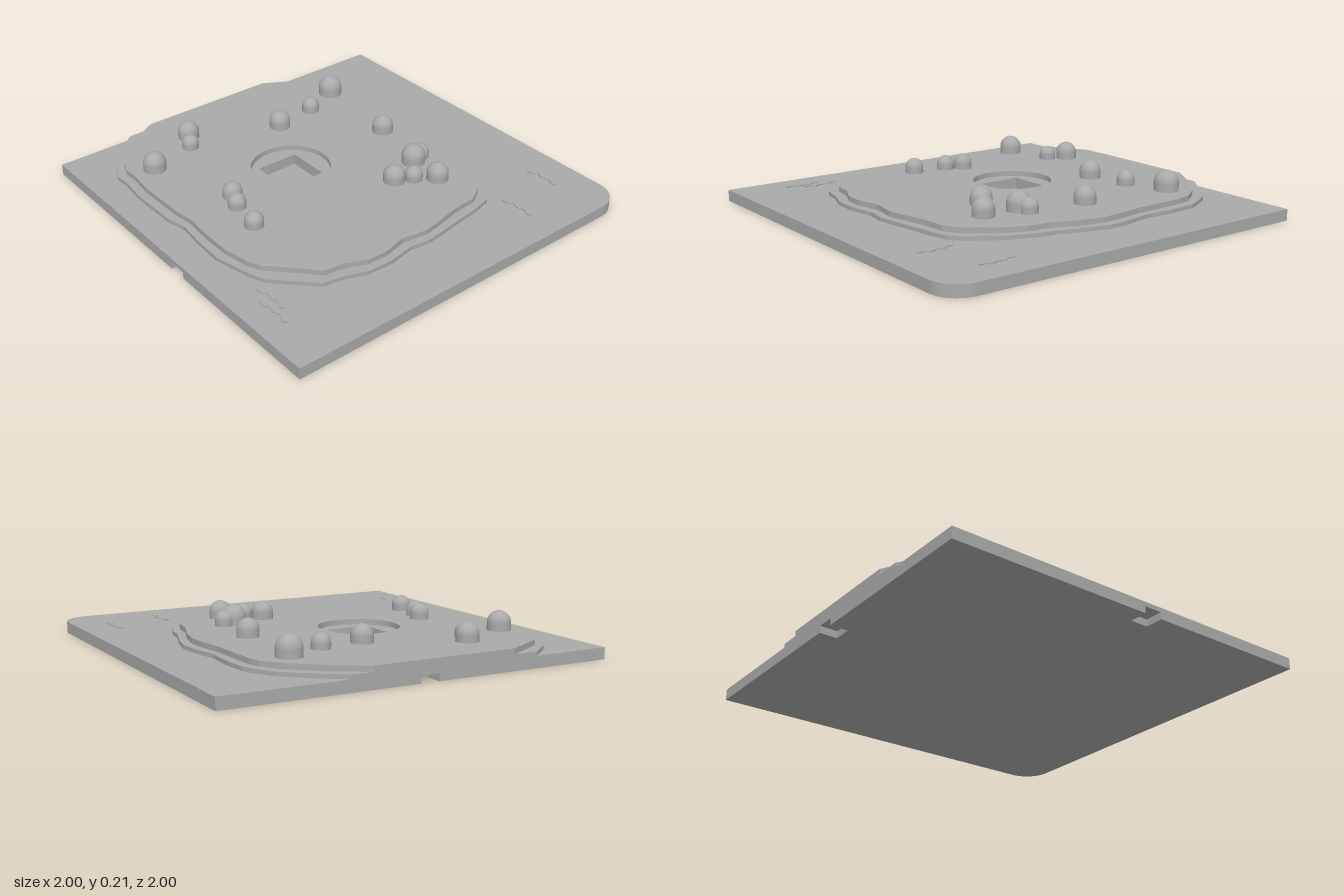
import * as THREE from 'three';

const stone = new THREE.MeshStandardMaterial({ color: 0xaaaaaa });
stone.name = 'grey';

// Heights of the stacked levels
const PIT = 0.02, NOTCH = 0.035, BASE = 0.058, STEP = 0.078, TOP = 0.105;

// Shorelines as x, z pairs, running from the left edge round and back to it
const lowerShore = [
  -1, -.38, -.9, -.515, -.8, -.63, -.69, -.69, -.64, -.71, -.5, -.72, -.34, -.71, -.18, -.74,
  -.075, -.745, .03, -.72, .19, -.665, .27, -.655, .44, -.59, .49, -.55, .565, -.505, .62, -.445,
  .645, -.345, .66, -.235, .68, -.105, .695, .005, .68, .11, .705, .245, .7, .38, .66, .485,
  .64, .59, .565, .67, .45, .78, .38, .805, .19, .85, .03, .845, -.11, .83, -.21, .855,
  -.475, .86, -.61, .845, -.69, .85, -.77, .815, -.9, .715, -1, .595];
const upperShore = [
  -1, -.275, -.89, -.445, -.77, -.585, -.675, -.65, -.61, -.665, -.5, -.67, -.315, -.675, -.18, -.695,
  -.075, -.7, .045, -.675, .19, -.62, .3, -.605, .435, -.54, .47, -.505, .555, -.445, .6, -.37,
  .61, -.235, .64, -.105, .655, -.01, .635, .12, .665, .245, .66, .35, .615, .45, .6, .555,
  .485, .66, .395, .75, .325, .78, .19, .805, .03, .805, -.11, .795, -.21, .81, -.475, .815,
  -.61, .8, -.68, .805, -.76, .77, -.88, .68, -1, .465];

// Dome-topped trees: x, z, radius
const trees = [
  [-.67, -.5, .063], [-.585, -.295, .046], [-.55, -.06, .055], [-.17, -.455, .055], [.15, -.43, .045],
  [.165, -.37, .06], [.36, -.355, .055], [.29, -.26, .045], [.24, -.175, .055], [-.76, .38, .055],
  [-.665, .43, .043], [-.6, .685, .058], [-.15, .525, .048], [-.06, .56, .045], [.12, .59, .047]];

const waves = [[.635, -.83], [.745, -.535], [.565, .815], [.645, .86]];

function outline(flat) {
  const pts = [];
  for (let i = 0; i < flat.length; i += 2) pts.push(new THREE.Vector2(flat[i], flat[i + 1]));
  return new THREE.Shape(pts);
}

// Flat plate from a plan shape (x, z) between two heights
function slab(name, shape, y0, y1) {
  const geo = new THREE.ExtrudeGeometry(shape, { depth: y1 - y0, bevelEnabled: false, curveSegments: 48 });
  geo.rotateX(Math.PI / 2).translate(0, y1, 0);
  const mesh = new THREE.Mesh(geo, stone);
  mesh.name = name;
  return mesh;
}

// Square plan with one rounded back corner, optionally notched at two edges
function basePlan(notched) {
  const s = new THREE.Shape();
  const r = 0.14, d = 0.09;
  s.moveTo(-1, -1);
  s.lineTo(1 - r, -1);
  s.absarc(1 - r, -1 + r, r, -Math.PI / 2, 0, false);
  s.lineTo(1, 1);
  if (notched) {
    s.lineTo(.135, 1); s.lineTo(.135, 1 - d); s.lineTo(.04, 1 - d); s.lineTo(.04, 1);
  }
  s.lineTo(-1, 1);
  if (notched) {
    s.lineTo(-1, .06); s.lineTo(-1 + d, .06); s.lineTo(-1 + d, -.035); s.lineTo(-1, -.035);
  }
  s.closePath();
  return s;
}

function withSquareHole(shape) {
  shape.holes.push(outline([-.305, .03, -.305, .255, -.075, .255, -.075, .03]));
  return shape;
}

// Small zigzag ripple ribbon
function wavePlan(cx, cz) {
  const line = [[-.092, .012], [-.055, .012], [-.035, -.01], [0, .004], [.035, -.01], [.07, .008], [.09, .003]];
  const h = 0.009;
  const near = line.map(([x, z]) => [cx + x, cz + z - h]);
  const far = line.map(([x, z]) => [cx + x, cz + z + h]).reverse();
  return outline([...near, ...far].flat());
}

export function createModel() {
  const model = new THREE.Group();
  model.name = 'islandTile';

  // Base plate in three levels: floor, notched level, cover
  model.add(slab('baseFloor', basePlan(true), 0, PIT));
  model.add(slab('baseMiddle', withSquareHole(basePlan(true)), PIT, NOTCH));
  model.add(slab('baseCover', withSquareHole(basePlan(false)), NOTCH, BASE));

  // Island terraces with a square pit inside a round recess
  model.add(slab('lowerTerrace', withSquareHole(outline(lowerShore)), BASE, STEP));
  const upper = outline(upperShore);
  upper.holes.push(new THREE.Path().absarc(-.19, .14, .202, 0, Math.PI * 2, true));
  model.add(slab('upperTerrace', upper, STEP, TOP));

  // Ripples on the water
  waves.forEach(([x, z]) => model.add(slab('wave', wavePlan(x, z), BASE, BASE + 0.006)));

  // Trees: short cylinder below a half sphere
  trees.forEach(([x, z, r]) => {
    const tree = new THREE.Group();
    tree.name = 'tree';
    const h = r * 0.65;
    const trunk = new THREE.Mesh(new THREE.CylinderGeometry(r, r, h, 32, 1, true), stone);
    trunk.name = 'treeTrunk';
    trunk.position.y = h / 2;
    const dome = new THREE.Mesh(new THREE.SphereGeometry(r, 32, 12, 0, Math.PI * 2, 0, Math.PI / 2), stone);
    dome.name = 'treeDome';
    dome.position.y = h;
    tree.add(trunk, dome);
    tree.position.set(x, TOP, z);
    model.add(tree);
  });

  return model;
}
